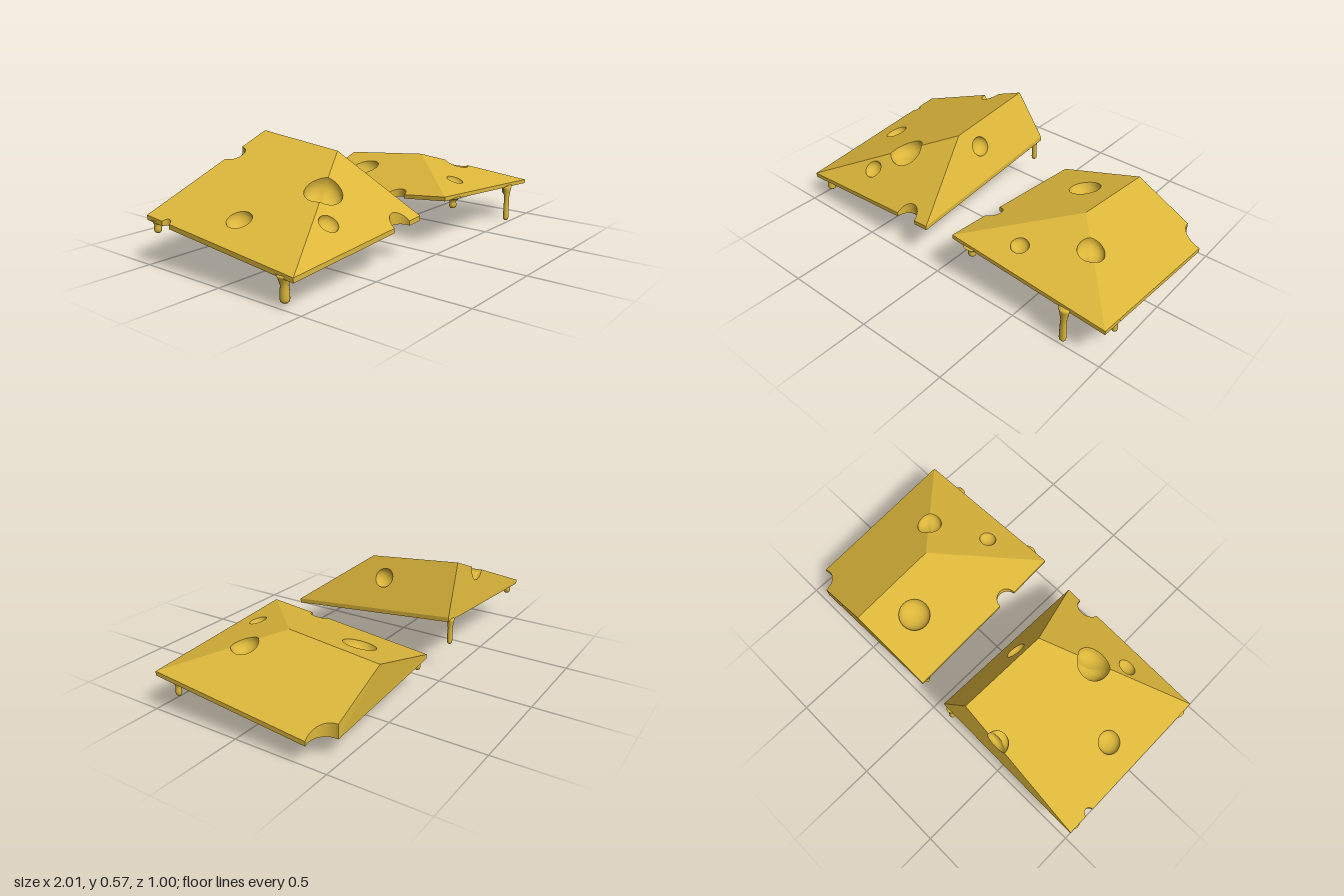
import * as THREE from 'three';

const V = (x, y, z) => new THREE.Vector3(x, y, z);
const cheese = new THREE.MeshStandardMaterial({ color: 0xdcb63a });
cheese.name = 'cheese yellow';

// Points of a bite in plan, as [x, z]
function arc(cx, cz, r, a0, a1, n = 14) {
  return Array.from({ length: n + 1 }, (_, i) => {
    const a = a0 + ((a1 - a0) * i) / n;
    return [cx + r * Math.cos(a), cz + r * Math.sin(a)];
  });
}

// Height function of the plane through three points
function planeY(a, b, c) {
  const p = new THREE.Plane().setFromCoplanarPoints(a, b, c);
  return (x, z) => -(p.normal.x * x + p.normal.z * z + p.constant) / p.normal.y;
}

function loopNormal(loop) {
  const n = V(0, 0, 0);
  loop.forEach((p, i) => n.add(p.clone().cross(loop[(i + 1) % loop.length])));
  return n.normalize();
}

// Half or full circle of offsets from direction a towards direction b
function sweep(a, b, r, angle, n) {
  return Array.from({ length: n + 1 }, (_, i) => {
    const t = (angle * i) / n;
    return a.clone().multiplyScalar(r * Math.cos(t)).addScaledVector(b, r * Math.sin(t));
  });
}

// Hollow bowl below a rim
function bowl(c, rim, down, depth) {
  const rings = 7, n = rim.length, pos = [], idx = [];
  for (let k = 0; k <= rings; k++) {
    const t = (k / rings) * Math.PI / 2;
    for (const d of rim) {
      pos.push(...c.clone().addScaledVector(d, Math.cos(t)).addScaledVector(down, depth * Math.sin(t)).toArray());
    }
  }
  for (let k = 0; k < rings; k++) for (let i = 0; i < n; i++) {
    const j = (i + 1) % n, a = k * n + i, b = k * n + j;
    idx.push(b, a, a + n, b, a + n, b + n);
  }
  const g = new THREE.BufferGeometry();
  g.setAttribute('position', new THREE.Float32BufferAttribute(pos, 3));
  g.setIndex(idx);
  g.computeVertexNormals();
  const m = new THREE.Mesh(g, cheese);
  m.name = 'hole';
  return m;
}

// Drip hanging from the slab: flared at the top, rounded at the tip
function drip(x, z, top, bottom, rx, rz, flare) {
  const h = top - bottom;
  const tip = Math.min(0.02, h * 0.3);
  const pts = [[0, 0], [0.5, tip * 0.15], [0.87, tip * 0.5], [1, tip], [0.95, h * 0.45],
    [0.85, h * 0.62], [1 + 0.2 * flare, h * 0.78], [1 + 0.55 * flare, h * 0.9], [1 + flare, h], [0, h]];
  const g = new THREE.LatheGeometry(pts.map(p => new THREE.Vector2(p[0], p[1])), 16);
  const m = new THREE.Mesh(g, cheese);
  m.scale.set(rx, 1, rz);
  m.position.set(x, bottom, z);
  m.name = 'drip';
  return m;
}

function makePiece(name, { front, right, left, FL, FR, RF, RB, thick, holes, notches, drips }) {
  const group = new THREE.Group();
  group.name = name;
  const pos = [];
  const tri = (...ps) => ps.forEach(p => pos.push(p.x, p.y, p.z));
  const yF = planeY(FL, FR, RF), yR = planeY(FR, RB, RF), yL = planeY(FL, RF, RB);
  const [bx, bz] = left[0];
  const eave = planeY(FL, FR, V(bx, yL(bx, bz), bz));
  const base = (x, z) => eave(x, z) - thick;
  const lift = (list, f) => list.map(([x, z]) => V(x, f(x, z), z));
  const cuts = notches.map(([a, b, t, r]) => ({ c: a.clone().lerp(b, t), r, rim: [], down: V(0, 0, 0) }));

  // Flat face with round holes inside it and half-round cuts on its edges
  function face(loop, faceHoles = [], y) {
    const n = loopNormal(loop), pts = [], inner = [];
    loop.forEach((a, i) => {
      const b = loop[(i + 1) % loop.length];
      pts.push(a);
      const line = new THREE.Line3(a, b), near = V(0, 0, 0);
      for (const cut of cuts) {
        line.closestPointToPoint(cut.c, true, near);
        if (near.distanceTo(cut.c) > 1e-4) continue;
        const e = b.clone().sub(a).normalize();
        const half = sweep(e.clone().negate(), n.clone().cross(e), cut.r, Math.PI, 12);
        pts.push(...half.map(d => d.clone().add(cut.c)));
        cut.rim.push(...half.slice(0, -1));
        cut.down.sub(n);
      }
    });
    const u = loop[1].clone().sub(loop[0]).normalize();
    const v = n.clone().cross(u).normalize();
    for (const [x, z, r] of faceHoles) {
      const c = V(x, y(x, z), z);
      const rim = sweep(v, u, r, Math.PI * 2, 24).slice(0, -1);
      inner.push(rim.map(d => d.clone().add(c)));
      group.add(bowl(c, rim, n.clone().negate(), r * 0.75));
    }
    const flat = l => l.map(p => new THREE.Vector2(p.dot(u), p.dot(v)));
    const all = [pts, ...inner].flat();
    for (const [i, j, k] of THREE.ShapeUtils.triangulateShape(flat(pts), inner.map(flat))) {
      const [a, b, c] = [all[i], all[j], all[k]];
      if (b.clone().sub(a).cross(c.clone().sub(a)).dot(n) > 0) tri(a, b, c);
      else tri(a, c, b);
    }
  }

  // Sloping top faces
  face([...lift(front, yF), RF], holes.front, yF);
  face([...lift(right, yR), RB, RF], holes.right, yR);
  face([...lift(left, yL), RF, RB], holes.left, yL);

  // Back gable
  const br = [right[right.length - 1]], bl = [left[0]];
  face([...lift(br, base), ...lift(bl, base), ...lift(bl, yL), RB, ...lift(br, yR)]);

  // Underside and thin side walls
  face(lift([...front.slice(0, -1), ...right, ...left.slice(0, -1)].reverse(), base));
  for (const [list, y] of [[front, yF], [right, yR], [left, yL]]) {
    const lo = lift(list, base), hi = lift(list, y);
    for (let i = 0; i < lo.length - 1; i++) {
      tri(lo[i], lo[i + 1], hi[i + 1]);
      tri(lo[i], hi[i + 1], hi[i]);
    }
  }

  const g = new THREE.BufferGeometry();
  g.setAttribute('position', new THREE.Float32BufferAttribute(pos, 3));
  g.computeVertexNormals();
  const body = new THREE.Mesh(g, cheese);
  body.name = 'wedge';
  group.add(body);

  for (const { c, r, rim, down } of cuts) group.add(bowl(c, rim, down.normalize(), r * 0.85));
  for (const [x, z, bottom, rx, rz, flare] of drips) {
    group.add(drip(x, z, base(x, z) + 0.008, bottom, rx, rz, flare));
  }
  return group;
}

export function createModel() {
  const model = new THREE.Group();
  model.name = 'cheesePieces';
  const P = Math.PI;

  // Tall piece with its ridge near one side
  const a = { FL: V(-1, 0.155, 0.46), FR: V(-0.1, 0.218, 0.465), RF: V(-0.24, 0.515, 0.055), RB: V(-0.24, 0.567, -0.457) };
  const aBL = V(-1, planeY(a.FL, a.RF, a.RB)(-1, -0.493), -0.493);
  model.add(makePiece('tallPiece', {
    ...a, thick: 0.024,
    front: [[-1, 0.46], ...arc(-0.25, 0.4642, 0.062, P, 2 * P), [-0.1, 0.465]],
    right: [[-0.1, 0.465], [-0.1, -0.487]],
    left: [[-1, -0.493], ...arc(-1, -0.355, 0.025, -P / 2, P / 2), [-1, 0.46]],
    holes: { front: [[-0.635, 0.335, 0.05]], right: [[-0.183, -0.05, 0.053]], left: [[-0.835, -0.03, 0.062]] },
    notches: [[a.RF, a.FL, 0.352, 0.097], [a.RB, aBL, 0.29, 0.062]],
    drips: [[-0.974, 0.385, 0.018, 0.022, 0.023, 0.7], [-0.14, -0.48, 0.15, 0.015, 0.014, 0.5],
      [-0.978, -0.445, 0.165, 0.018, 0.02, 0.6]],
  }));

  // Low piece with a central ridge
  const b = { FL: V(0.1, 0.275, 0.48), FR: V(1, 0.206, 0.48), RF: V(0.565, 0.373, 0.02), RB: V(0.565, 0.324, -0.487) };
  model.add(makePiece('lowPiece', {
    ...b, thick: 0.022,
    front: [[0.1, 0.48], [1, 0.48]],
    right: [[1, 0.48], ...arc(0.97, -0.478, 0.09, 1.23, P)],
    left: [[0.095, -0.472], ...arc(0.0965, 0.175, 0.055, -P / 2, P / 2), [0.1, 0.48]],
    holes: { front: [[0.415, 0.345, 0.046]], right: [], left: [[0.375, -0.255, 0.085]] },
    notches: [[b.RF, b.FR, 0.338, 0.07]],
    drips: [[0.78, 0.477, 0, 0.019, 0.015, 0.7], [0.21, 0.461, 0.19, 0.022, 0.018, 1.1],
      [0.978, 0.36, 0.102, 0.015, 0.016, 0.5], [0.112, -0.43, 0.09, 0.014, 0.016, 0.6]],
  }));
  return model;
}
